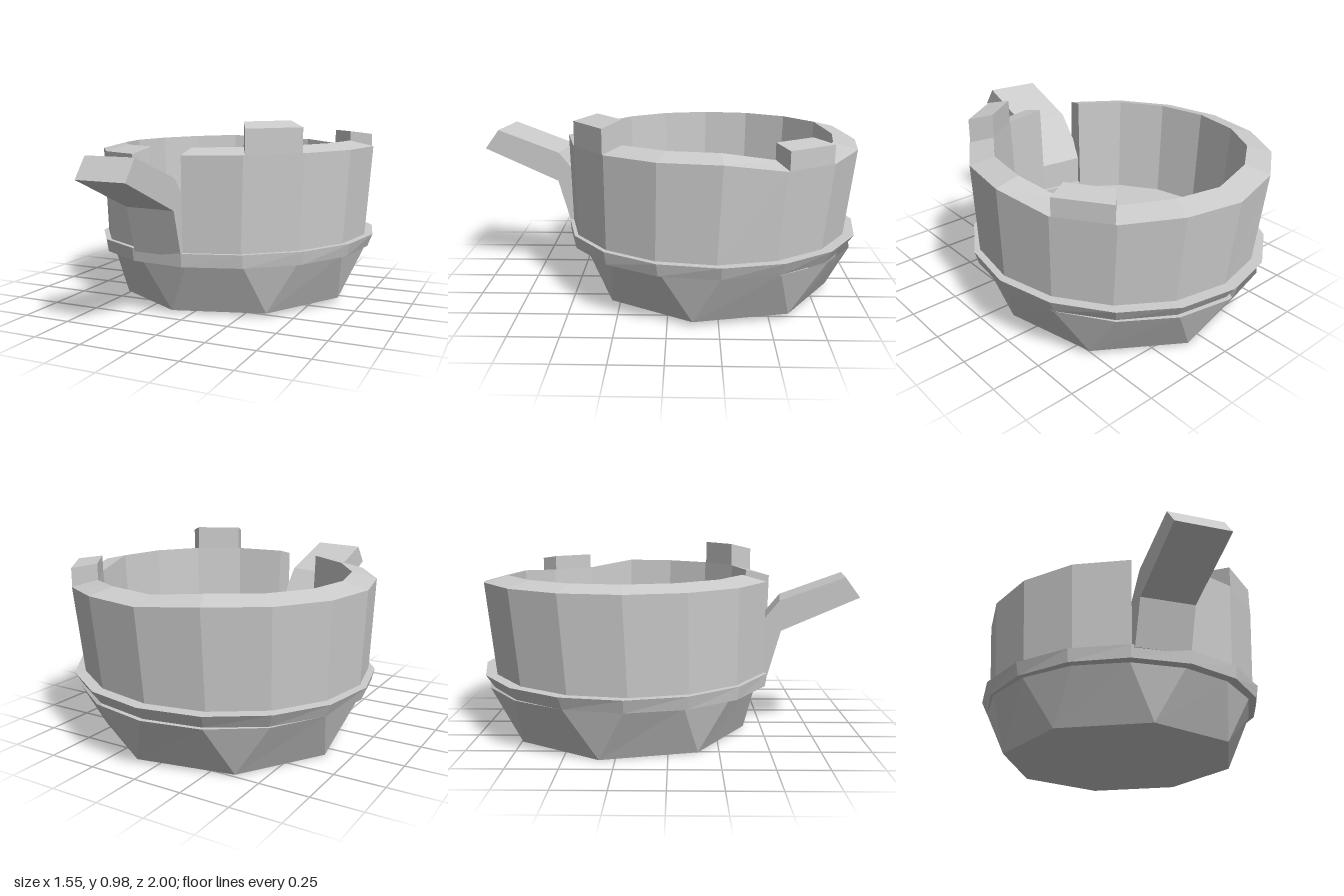
import * as THREE from 'three';

const CZ = -0.225; // centre of the tub along z
const rad = THREE.MathUtils.degToRad;
const ang = (k) => rad(2 + 22.5 * k); // 16 sides, measured from +z towards +x
const TILT = 0.02; // the whole tub leans slightly sideways

function polar(a, r, y, cz = CZ) {
  const x = r * Math.sin(a);
  return new THREE.Vector3(x, y + TILT * x, cz + r * Math.cos(a));
}

function mesh(name, tris) {
  const geo = new THREE.BufferGeometry().setFromPoints(tris);
  geo.computeVertexNormals();
  return named(name, geo);
}

function named(name, geo) {
  const m = new THREE.Mesh(geo, new THREE.MeshStandardMaterial({
    color: 0xcccccc, flatShading: true, side: THREE.DoubleSide }));
  m.name = name;
  return m;
}

// joins closed cross-sections; caps both ends unless the sweep is a full ring
function sweep(sections, ring = false) {
  const t = [];
  const n = sections[0].length;
  const count = ring ? sections.length : sections.length - 1;
  for (let s = 0; s < count; s++) {
    const a = sections[s], b = sections[(s + 1) % sections.length];
    for (let i = 0; i < n; i++) {
      const j = (i + 1) % n;
      t.push(a[i], b[i], b[j], a[i], b[j], a[j]);
    }
  }
  if (!ring) {
    const a = sections[0], b = sections[sections.length - 1];
    for (let i = 1; i < n - 1; i++) t.push(a[0], a[i], a[i + 1], b[0], b[i + 1], b[i]);
  }
  return t;
}

// rim height dips around the rear block
const rimY = (k) => (k === 5 || k === 6 ? 0.778 : k === 7 || k === 8 ? 0.795 : 0.82);

function wallSection(k) {
  const a = ang(k), y = rimY(k);
  return [
    polar(a, 0.735, 0.335, -0.205), polar(a, 0.765, y),
    polar(a, 0.64, y + 0.03), polar(a, 0.615, 0.32),
  ];
}

// block standing on one wall segment
function block(name, k, outerTop, innerTop) {
  const section = (f) => {
    const p = wallSection(k), q = wallSection(k + 1);
    const [o, i] = [1, 2].map((n) => p[n].clone().lerp(q[n], f));
    const up = (v, y) => new THREE.Vector3(v.x, y + TILT * v.x, v.z);
    return [o, up(o, outerTop), up(i, innerTop), i];
  };
  return mesh(name, sweep([section(0.03), section(0.97)]));
}

function createModel() {
  const group = new THREE.Group();
  const ks = [...Array(16).keys()];

  // lower bowl: eight corners at the foot, sixteen at the top
  const foot = [...Array(8).keys()].map((j) => polar(rad(-9.25 + 45 * j), 0.635, 0.013));
  const top = ks.map((k) => polar(ang(k), 0.735 - 0.02 * Math.cos(ang(k)), 0.28));
  const centre = polar(0, 0, 0.013);
  const bowl = [];
  for (let j = 0; j < 8; j++) {
    const b = foot[j], b2 = foot[(j + 1) % 8];
    const t0 = top[(2 * j + 15) % 16], t1 = top[2 * j], t2 = top[2 * j + 1];
    bowl.push(b, t1, t0, b, b2, t2, b, t2, t1, centre, b2, b);
  }
  group.add(mesh('lowerBowl', bowl));

  // flared band around the middle
  const band = ks.map((k) => {
    const a = ang(k), c = Math.cos(a);
    return [
      polar(a, 0.75 + 0.02 * c, 0.28), polar(a, 0.775, 0.347),
      polar(a, 0.62, 0.35), polar(a, 0.62, 0.28),
    ];
  });
  group.add(mesh('band', sweep(band, true)));

  // inner floor
  const floor = [];
  const mid = polar(0, 0, 0.325);
  ks.forEach((k) => floor.push(mid, polar(ang(k), 0.64, 0.325), polar(ang(k + 1), 0.64, 0.325)));
  group.add(mesh('floor', floor));

  // upper wall, open at the spout
  group.add(mesh('upperWall', sweep(ks.map(wallSection))));
  group.add(block('frontBlock', 1, 0.942, 0.972));
  group.add(block('rearBlock', 5, 0.87, 0.888));

  // spout: bent profile filling the gap, slightly skewed
  const profile = [
    [0.4, 0.33], [0.525, 0.33], [0.59, 0.565], [0.98, 0.738],
    [0.905, 0.84], [0.58, 0.72], [0.4, 0.5],
  ].map(([z, y]) => new THREE.Vector2(z, y));
  const spout = new THREE.ExtrudeGeometry(new THREE.Shape(profile), { depth: 0.28, bevelEnabled: false });
  spout.rotateY(-Math.PI / 2).translate(0.025, 0, 0);
  const p = spout.attributes.position;
  for (let i = 0; i < p.count; i++) {
    const x = p.getX(i), z = p.getZ(i);
    p.setXYZ(i, x - 0.05 * (z - 0.55), p.getY(i) + TILT * x * 0.5, z + 0.13 * (x + 0.12));
  }
  spout.computeVertexNormals();
  group.add(named('spout', spout));

  return group;
}

export { createModel };
